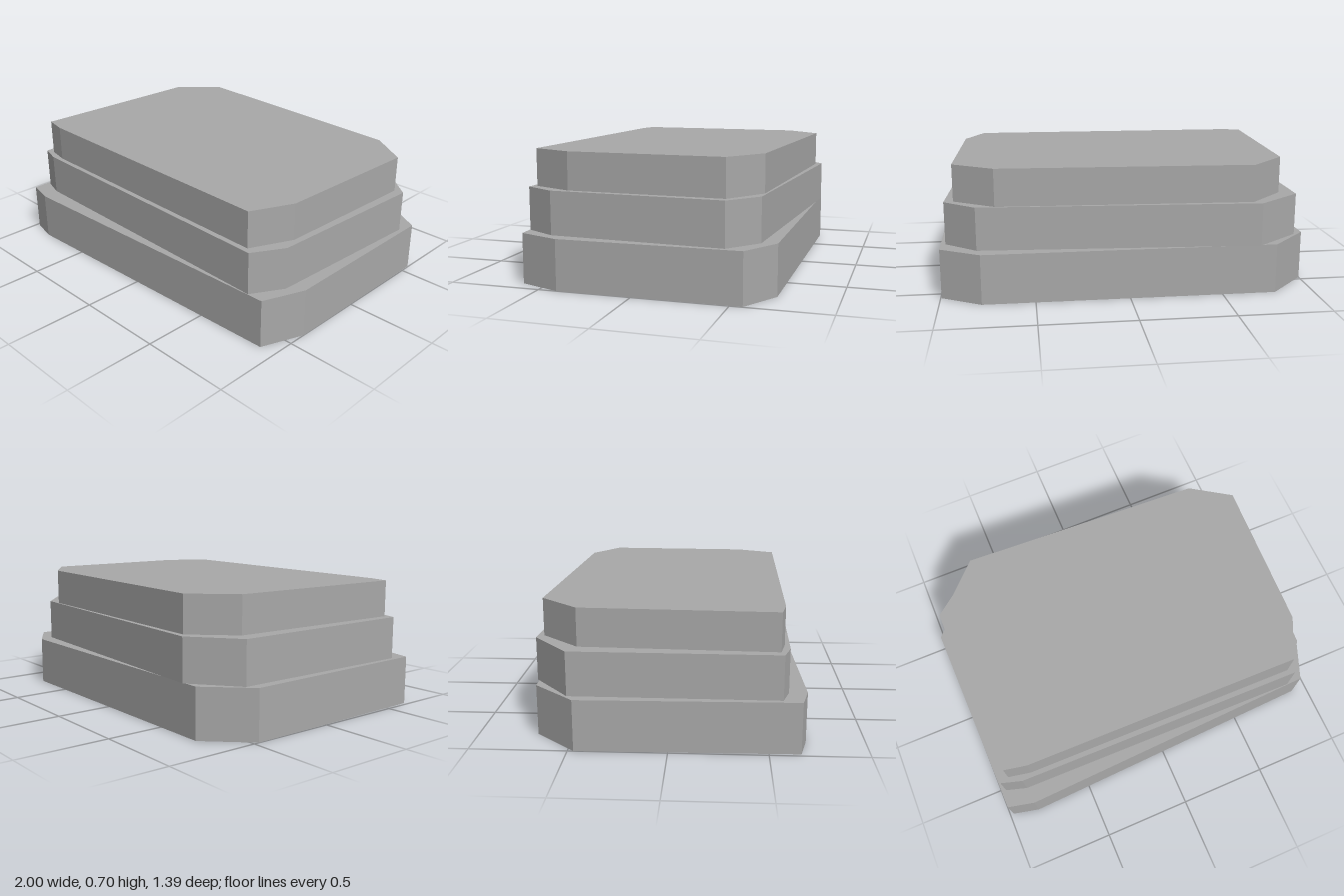
import * as THREE from 'three';

// Each slab: its bottom and top height, and an uneven eight-cornered outline as [x, z]
const slabs = [
  { name: 'bottomSlab', y0: 0.003, y1: 0.272, outline: [
    [-0.79, -0.69], [0.78, -0.69], [0.995, -0.565], [1.0, 0.4],
    [0.91, 0.63], [-0.83, 0.695], [-0.98, 0.66], [-1.0, -0.47]] },
  { name: 'middleSlab', y0: 0.272, y1: 0.503, outline: [
    [-0.7, -0.7], [0.8, -0.61], [0.97, -0.47], [0.92, 0.46],
    [0.82, 0.63], [-0.84, 0.6], [-0.955, 0.565], [-0.945, -0.505]] },
  { name: 'topSlab', y0: 0.503, y1: 0.703, outline: [
    [-0.66, -0.665], [0.7, -0.605], [0.92, -0.46], [0.89, 0.375],
    [0.785, 0.6], [-0.78, 0.575], [-0.905, 0.55], [-0.86, -0.46]] },
];

export function createModel() {
  const model = new THREE.Group();
  model.name = 'steppedStoneSlabs';
  const stone = new THREE.MeshStandardMaterial({ color: 0xa8a8a8 });
  stone.name = 'stone grey';

  for (const { name, y0, y1, outline } of slabs) {
    const shape = new THREE.Shape(outline.map(([x, z]) => new THREE.Vector2(x, -z)));
    const geometry = new THREE.ExtrudeGeometry(shape, { depth: y1 - y0, bevelEnabled: false });
    geometry.rotateX(-Math.PI / 2); // lay the outline flat, thickness upwards
    const slab = new THREE.Mesh(geometry, stone);
    slab.name = name;
    slab.position.y = y0;
    model.add(slab);
  }
  return model;
}
